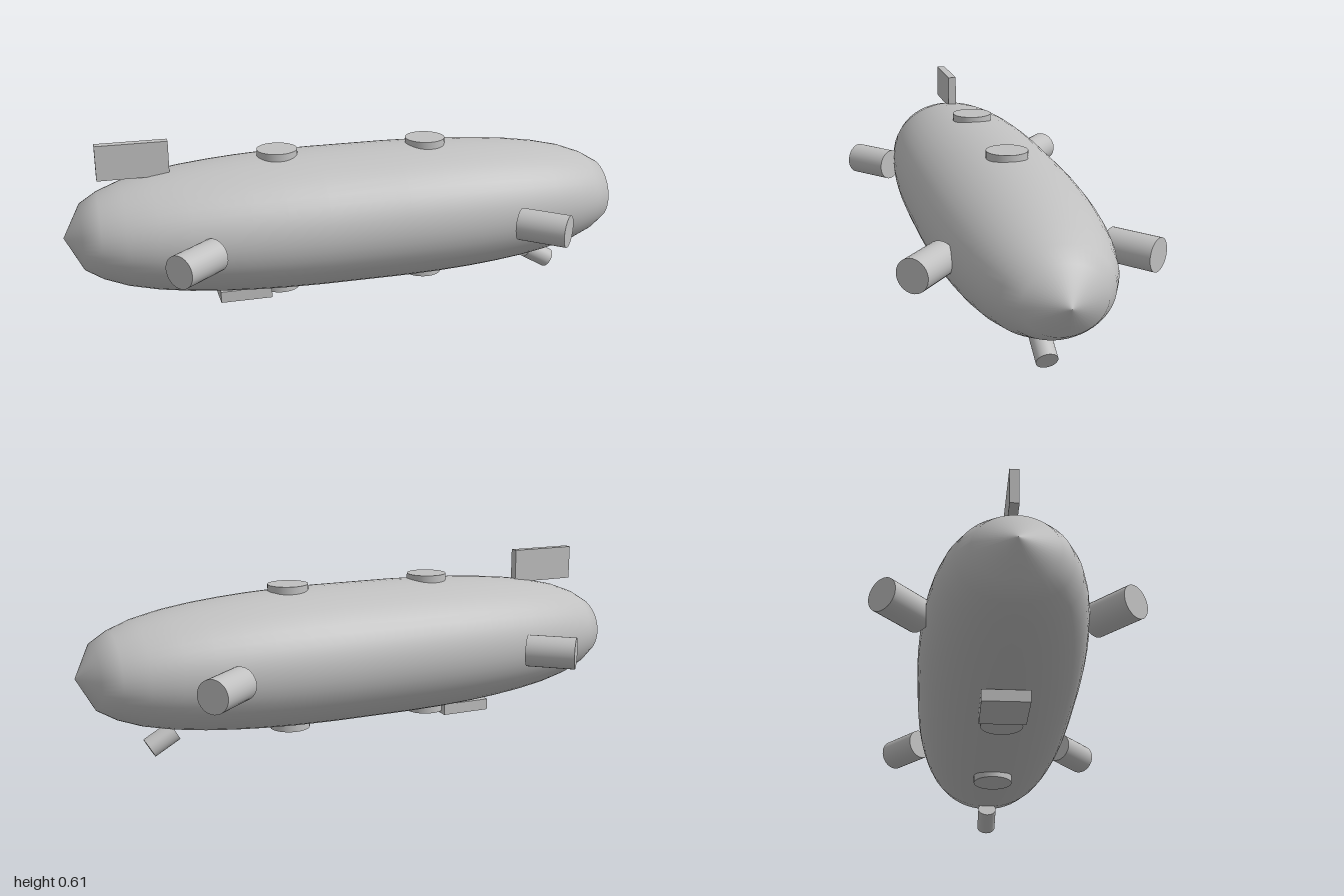
import * as THREE from 'three';

export function createModel() {
  const group = new THREE.Group();
  const grey = new THREE.MeshStandardMaterial({ color: 0xc0c0c0 });
  grey.name = 'light grey';
  const axisY = 0.296;

  function add(name, geometry, x = 0, y = 0, z = 0) {
    const mesh = new THREE.Mesh(geometry, grey);
    mesh.name = name;
    mesh.position.set(x, y, z);
    group.add(mesh);
    return mesh;
  }

  // Cylinder running back from its outer end along a direction
  function tube(name, radius, length, end, direction) {
    const dir = direction.clone().normalize();
    const mesh = add(name, new THREE.CylinderGeometry(radius, radius, length, 32));
    mesh.quaternion.setFromUnitVectors(new THREE.Vector3(0, 1, 0), dir);
    mesh.position.copy(end).addScaledVector(dir, -length / 2);
  }

  // Hull: half profile (distance along the axis, relative radius), mirrored and flattened
  const half = [
    [1, 0], [0.997, 0.024], [0.94, 0.46], [0.88, 0.61], [0.8, 0.735], [0.7, 0.83],
    [0.6, 0.892], [0.5, 0.935], [0.4, 0.966], [0.28, 0.989], [0.14, 1],
  ];
  const profile = [
    ...half.map(([a, r]) => new THREE.Vector2(r, -a)),
    ...half.slice().reverse().map(([a, r]) => new THREE.Vector2(r, a)),
  ];
  const hull = new THREE.LatheGeometry(profile, 48);
  hull.rotateZ(-Math.PI / 2);
  hull.scale(1, 0.239, 0.282);
  add('hull', hull, 0, axisY, 0);

  // Four angled side thrusters
  for (const sx of [-1, 1]) {
    for (const sz of [-1, 1]) {
      tube('sideThruster', 0.056, 0.17,
        new THREE.Vector3(sx * 0.66, axisY, sz * 0.385),
        new THREE.Vector3(sx * 0.755, 0, sz * 0.655));
    }
  }

  // Round hatches above and below
  for (const x of [-0.267, 0.267]) {
    add('topHatch', new THREE.CylinderGeometry(0.07, 0.07, 0.04, 32), x, 0.531, 0);
    add('bottomHatch', new THREE.CylinderGeometry(0.07, 0.07, 0.04, 32), x, 0.061, 0);
  }

  // Tail fin, keel block and forward-looking lower tube
  add('tailFin', new THREE.BoxGeometry(0.24, 0.12, 0.03), -0.757, 0.551, 0);
  add('keelBlock', new THREE.BoxGeometry(0.18, 0.04, 0.154), -0.401, 0.05, 0);
  tube('lowerTube', 0.035, 0.1,
    new THREE.Vector3(0.769, 0.031, 0), new THREE.Vector3(0.866, -0.5, 0));

  return group;
}
